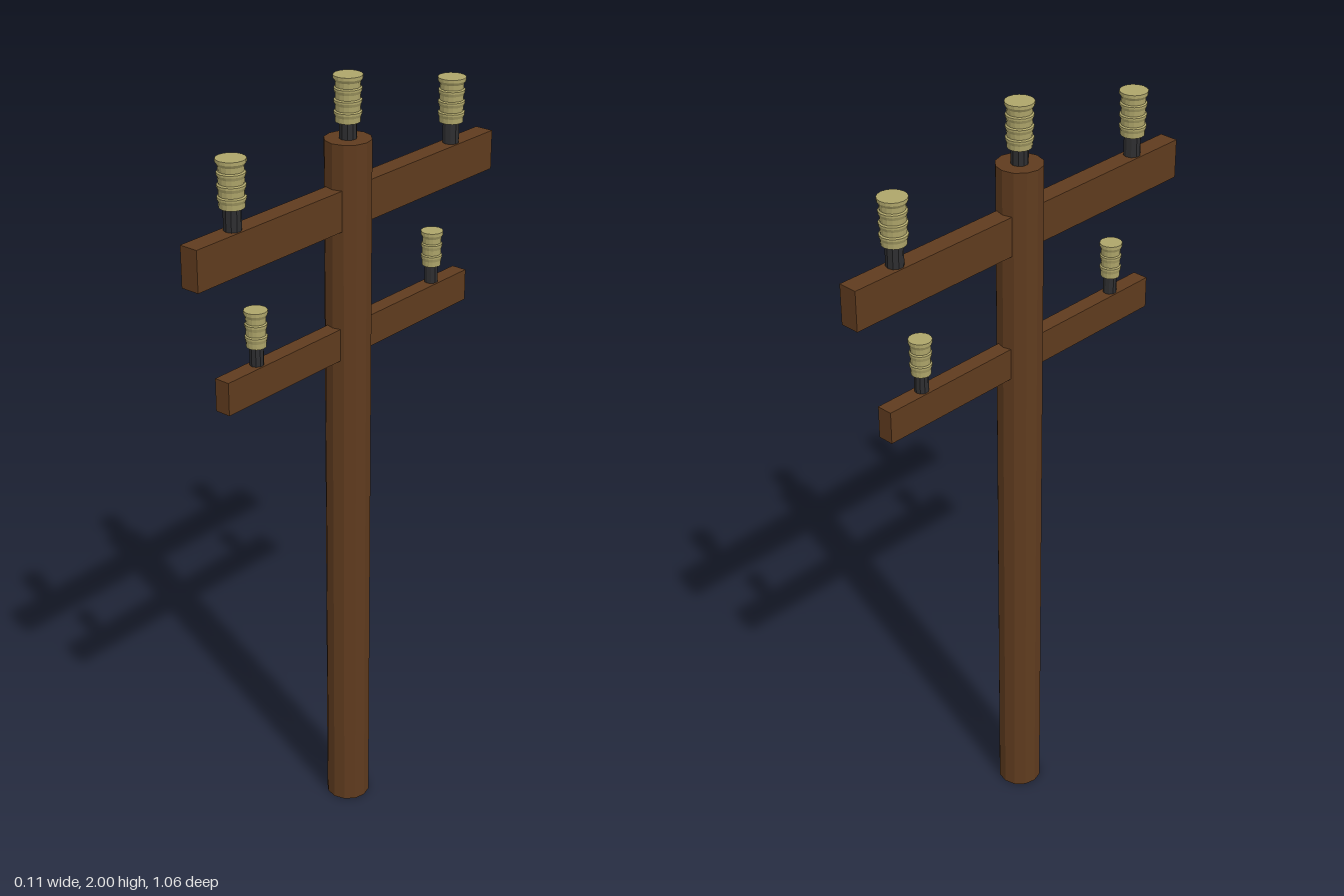
import * as THREE from 'three';

const wood = new THREE.MeshStandardMaterial({ color: 0x5f3b1e, flatShading: true });
const metal = new THREE.MeshStandardMaterial({ color: 0x2e2e30, flatShading: true });
const ceramic = new THREE.MeshStandardMaterial({ color: 0xaea56a, flatShading: true });

function addMesh(parent, name, geometry, material, x, y, z) {
  const mesh = new THREE.Mesh(geometry, material);
  mesh.name = name;
  mesh.position.set(x, y, z);
  parent.add(mesh);
}

// Pin with a ribbed ceramic body; ribs are flared rims above narrow grooves
function createInsulator(name, { radius, height, ribs, pinRadius, pinHeight }) {
  const group = new THREE.Group();
  group.name = name;
  addMesh(group, 'pin', new THREE.CylinderGeometry(pinRadius, pinRadius, pinHeight + 0.01, 10), metal, 0, pinHeight / 2, 0);
  const step = height / ribs;
  const profile = [new THREE.Vector2(0, 0)];
  for (let i = 0; i < ribs; i++) {
    const rim = radius * (i === ribs - 1 ? 1 : 0.95);
    profile.push(
      new THREE.Vector2(radius * 0.84, i * step),
      new THREE.Vector2(radius * 0.86, (i + 0.45) * step),
      new THREE.Vector2(rim, (i + 0.72) * step),
      new THREE.Vector2(rim, (i + (i === ribs - 1 ? 1 : 0.9)) * step),
    );
  }
  profile.push(new THREE.Vector2(0, height));
  addMesh(group, 'ribbedBody', new THREE.LatheGeometry(profile, 16), ceramic, 0, pinHeight, 0);
  return group;
}

export function createModel() {
  const model = new THREE.Group();
  model.name = 'utilityPole';

  // Pole
  addMesh(model, 'pole', new THREE.CylinderGeometry(0.057, 0.057, 1.85, 12), wood, 0, 0.925, 0);

  // Crossarms
  addMesh(model, 'upperCrossarm', new THREE.BoxGeometry(0.049, 0.1, 1.062), wood, 0, 1.69, 0);
  addMesh(model, 'lowerCrossarm', new THREE.BoxGeometry(0.041, 0.082, 0.884), wood, 0, 1.351, 0);

  // Insulators on the crossarms and pole top
  const large = { radius: 0.035, height: 0.112, ribs: 4, pinRadius: 0.021, pinHeight: 0.053 };
  const small = { radius: 0.028, height: 0.09, ribs: 3, pinRadius: 0.017, pinHeight: 0.046 };
  const place = (name, spec, y, z) => {
    const insulator = createInsulator(name, spec);
    insulator.position.set(0, y, z);
    model.add(insulator);
  };
  for (const [side, s] of [['front', 1], ['back', -1]]) {
    place(side + 'UpperInsulator', large, 1.74, s * 0.392);
    place(side + 'LowerInsulator', small, 1.392, s * 0.325);
  }
  place('topInsulator', { ...large, height: 0.11, pinHeight: 0.04 }, 1.85, 0);

  return model;
}
